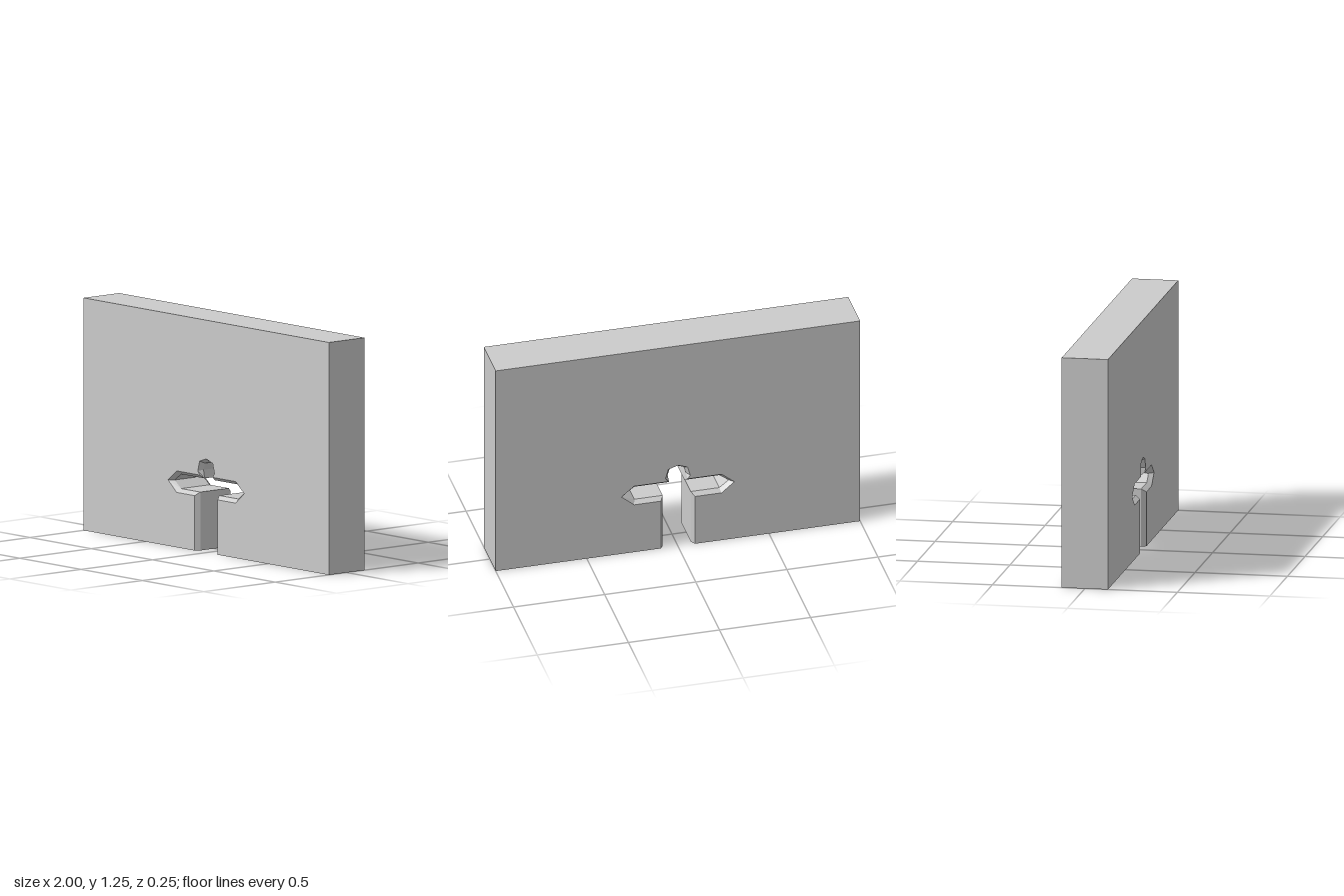
import * as THREE from 'three';

const HALF_DEPTH = 0.125, CHAMFER = 0.025, HEIGHT = 1.25;

// Right half of the cut-out, from the bottom edge up to the crown:
// [x, y] on the slab faces, then [x, y] inside the tunnel
const CUTOUT = [
  [0.094, 0, 0.077, 0],
  [0.094, 0.295, 0.077, 0.314],
  [0.24, 0.295, 0.233, 0.314],
  [0.31, 0.354, 0.285, 0.354],
  [0.24, 0.411, 0.233, 0.392],
  [0.053, 0.411, 0.042, 0.392],
  [0.068, 0.432, 0.05, 0.437],
  [0.053, 0.486, 0.039, 0.474],
  [0, 0.504, 0, 0.488],
];

// Closed slab outline, counter-clockwise, with the mirrored cut-out in its base
function outline(inside) {
  const half = CUTOUT.map(([x, y, ix, iy]) => (inside ? [ix, iy] : [x, y]));
  const left = half.map(([x, y]) => [-x, y]);
  const right = half.slice(0, -1).reverse();
  return [[-1, 0], ...left, ...right, [1, 0], [1, HEIGHT], [-1, HEIGHT]];
}

// Skin joining outlines at successive depths, one flat quad per edge
function loft(sections) {
  const pos = [];
  for (let s = 0; s + 1 < sections.length; s++) {
    const back = sections[s], front = sections[s + 1];
    back.points.forEach((p, i) => {
      const j = (i + 1) % back.points.length;
      const a = [...p, back.z], b = [...back.points[j], back.z];
      const c = [...front.points[j], front.z], d = [...front.points[i], front.z];
      pos.push(...a, ...b, ...c, ...a, ...c, ...d);
    });
  }
  const geometry = new THREE.BufferGeometry();
  geometry.setAttribute('position', new THREE.Float32BufferAttribute(pos, 3));
  geometry.computeVertexNormals();
  return geometry;
}

export function createModel() {
  const model = new THREE.Group();
  model.name = 'wallWithCutout';
  const material = new THREE.MeshStandardMaterial({ color: 0xcccccc, flatShading: true });
  const add = (name, geometry) => {
    const mesh = new THREE.Mesh(geometry, material);
    mesh.name = name;
    model.add(mesh);
    return mesh;
  };

  const wide = outline(false), narrow = outline(true);

  // Outer edges, chamfers and tunnel walls
  const inner = HALF_DEPTH - CHAMFER;
  add('edgesAndTunnel', loft([
    { points: wide, z: -HALF_DEPTH },
    { points: narrow, z: -inner },
    { points: narrow, z: inner },
    { points: wide, z: HALF_DEPTH },
  ]));

  // Front and back faces
  const face = new THREE.ShapeGeometry(new THREE.Shape(wide.map(([x, y]) => new THREE.Vector2(x, y))));
  add('frontFace', face).position.z = HALF_DEPTH;
  const back = add('backFace', face);
  back.position.z = -HALF_DEPTH;
  back.rotation.y = Math.PI;

  return model;
}
